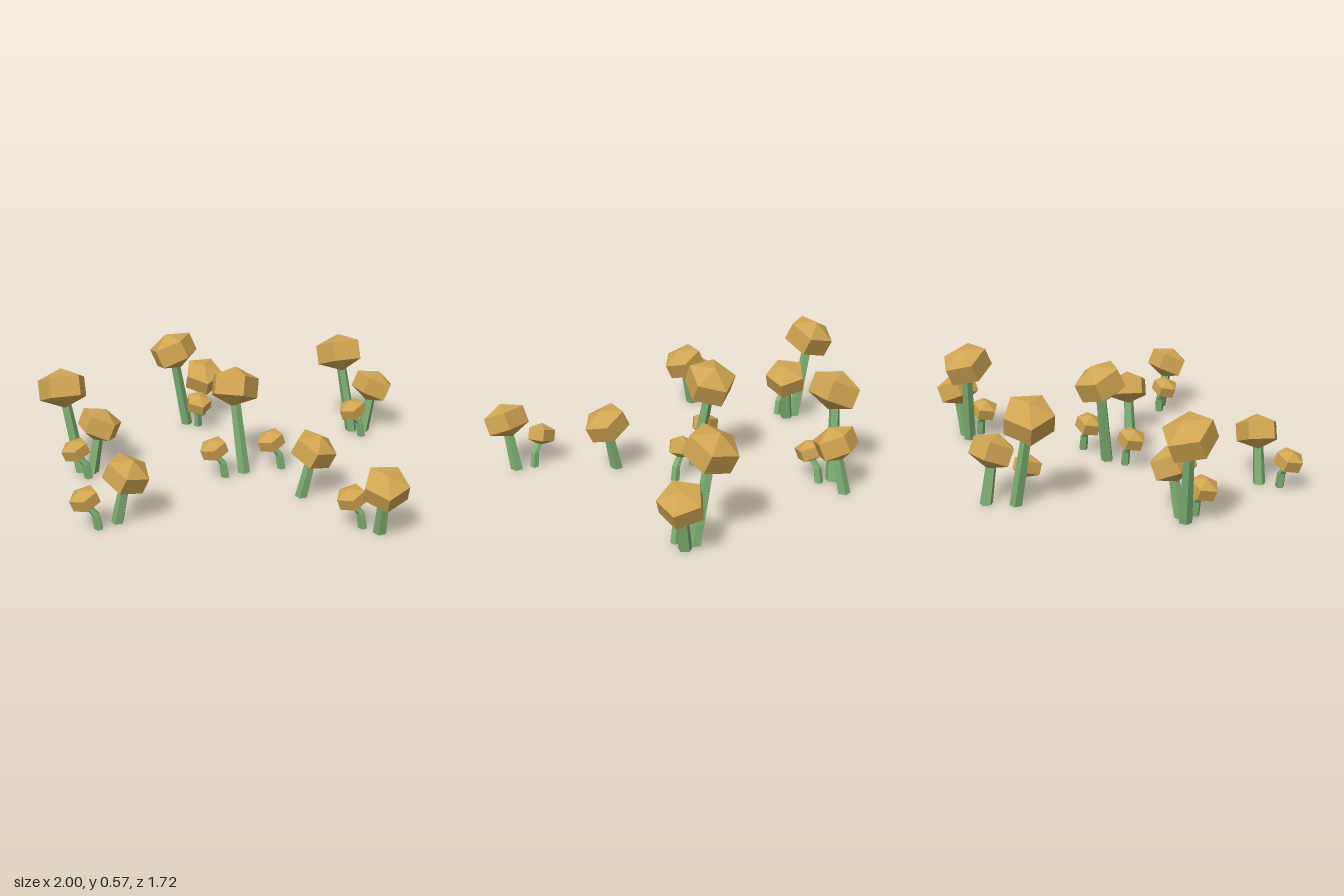
import * as THREE from 'three';

const capMat = new THREE.MeshStandardMaterial({ name: 'ochre cap', color: 0xd0a552, flatShading: true });
const stemMat = new THREE.MeshStandardMaterial({ name: 'soft green stem', color: 0x7db072, flatShading: true });
const rad = THREE.MathUtils.degToRad;

// Each kind: cap size, tilt and height; stem radii, direction and length of its foot's
// offset from the cap, and the stem path as [share of the way to the cap, height].
const KINDS = {
  tall: {
    cap: 0.15, tilt: 25, height: 0.47, foot: 0.034, neck: 0.027, footAngle: 128, lean: 0.085,
    path: [[0, 0], [1, 0.45]],
  },
  medium: {
    cap: 0.13, tilt: 25, height: 0.267, foot: 0.034, neck: 0.026, footAngle: 175, lean: 0.055,
    path: [[0, 0], [1, 0.26]],
  },
  small: {
    cap: 0.085, tilt: 20, height: 0.165, foot: 0.024, neck: 0.018, footAngle: -162, lean: 0.062,
    path: [[0, 0], [0.2, 0.08], [0.8, 0.125], [1, 0.165]],
  },
};

// Squashed five-sided cap, one corner along +x, nodding towards that corner
function capGeometry(k) {
  return new THREE.SphereGeometry(k.cap, 5, 3)
    .rotateY(Math.PI)
    .scale(1, 0.7, 1)
    .rotateZ(-rad(k.tilt))
    .translate(0, k.height, 0);
}

// Five-sided stem whose level rings follow the path from the foot to the cap
function stemGeometry(k) {
  const last = k.path.length - 1;
  const geo = new THREE.CylinderGeometry(k.neck, k.foot, 1, 5, last);
  const pos = geo.attributes.position;
  const a = rad(k.footAngle);
  for (let i = 0; i < pos.count; i++) {
    const [share, y] = k.path[Math.round((pos.getY(i) + 0.5) * last)];
    const d = k.lean * (1 - share);
    pos.setXYZ(i, pos.getX(i) + d * Math.cos(a), y, pos.getZ(i) + d * Math.sin(a));
  }
  geo.computeVertexNormals();
  return geo;
}

// Cap centre x, z and the heading of the nod, in degrees from +x towards +z
const MUSHROOMS = {
  tall: [
    [-0.866, 0.15, -118], [0.01, -0.067, -90], [-0.445, -0.53, -176], [0.492, -0.712, -120],
  ],
  medium: [
    [-0.68, 0.125, -36], [-0.363, 0.68, 8], [-0.31, -0.69, 62],
    [0.482, 0.205, 6], [0.685, -0.748, -36], [0.88, 0.56, 75],
  ],
  small: [
    [-0.775, 0.255, 142], [-0.545, 0.785, 142], [-0.065, 0.085, 142], [0.21, -0.085, 142],
    [-0.295, -0.515, 54], [0.585, -0.61, 142], [0.715, 0.495, 145],
  ],
};

export function createModel() {
  const model = new THREE.Group();
  model.name = 'mushroomPatch';
  for (const [kind, places] of Object.entries(MUSHROOMS)) {
    const capGeo = capGeometry(KINDS[kind]);
    const stemGeo = stemGeometry(KINDS[kind]);
    for (const [x, z, heading] of places) {
      const mushroom = new THREE.Group();
      mushroom.name = kind + 'Mushroom';
      const cap = new THREE.Mesh(capGeo, capMat);
      cap.name = 'cap';
      const stem = new THREE.Mesh(stemGeo, stemMat);
      stem.name = 'stem';
      mushroom.add(cap, stem);
      mushroom.position.set(x, 0, z);
      mushroom.rotation.y = -rad(heading);
      model.add(mushroom);
    }
  }
  return model;
}
